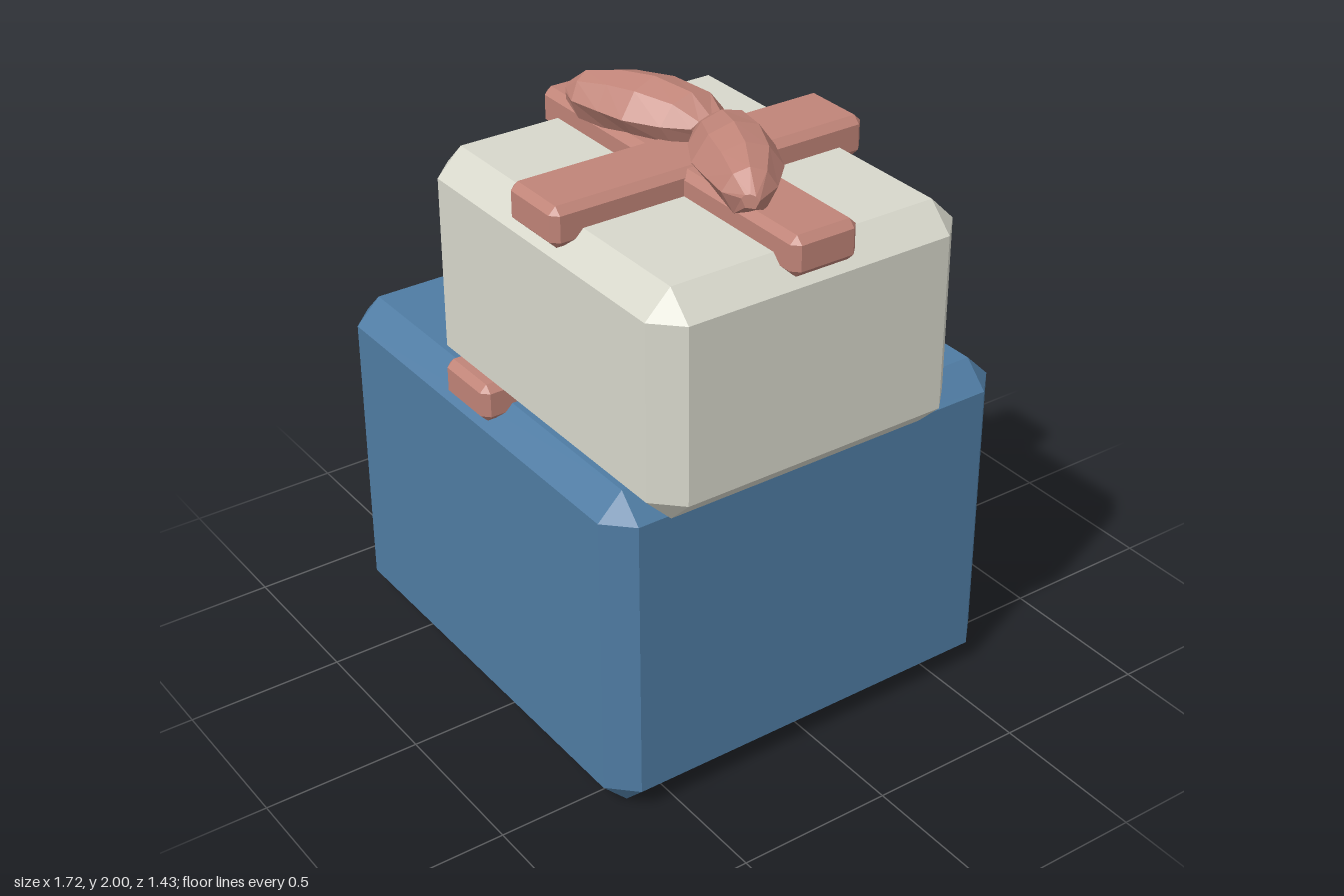
import * as THREE from 'three';
import { ConvexGeometry } from 'three/addons/geometries/ConvexGeometry.js';

const paint = (color) => new THREE.MeshStandardMaterial({ color, flatShading: true });

// Box with chamfered edges and corners, given by its min and max corners
function chamferBox(name, min, max, bevel, material) {
  const points = [];
  for (const sx of [0, 1]) for (const sy of [0, 1]) for (const sz of [0, 1]) {
    const s = [sx, sy, sz];
    for (let full = 0; full < 3; full++) {
      points.push(new THREE.Vector3(...s.map((v, k) => {
        const inset = k === full ? 0 : bevel;
        return v ? max[k] - inset : min[k] + inset;
      })));
    }
  }
  const mesh = new THREE.Mesh(new ConvexGeometry(points), material);
  mesh.name = name;
  return mesh;
}

// Bow loop sections: back x, back z, front x, front z, top y, bottom y
const sections = [
  [0.28, 0.04, 0.25, 0.16, 1.93, 1.88],
  [0.18, 0.0, 0.19, 0.22, 1.98, 1.83],
  [0.05, 0.03, 0.09, 0.28, 2.0, 1.83],
  [-0.07, 0.09, 0.0, 0.3, 1.99, 1.83],
  [-0.16, 0.18, -0.1, 0.32, 1.97, 1.84],
  [-0.2, 0.27, -0.16, 0.3, 1.92, 1.88],
];
const MID_Y = 1.905, BOW_X = 0.255;

// Faceted bow loop lofted through the sections; mirrored when side is -1
function bowLoop(name, side, material) {
  const rings = sections.map(([bx, bz, fx, fz, top, bottom]) => {
    const shoulder = MID_Y + (top - MID_Y) * 0.75;
    const profile = [[0, MID_Y], [0.2, shoulder], [0.5, top], [0.8, shoulder], [1, MID_Y], [0.78, bottom], [0.22, bottom]];
    return profile.map(([t, y]) => [
      BOW_X + side * (bx + (fx - bx) * t - BOW_X), y, bz + (fz - bz) * t,
    ]);
  });
  const n = rings[0].length, index = [];
  const tri = (a, b, c) => (side > 0 ? index.push(a, b, c) : index.push(a, c, b));
  for (let i = 0; i < rings.length - 1; i++) {
    for (let j = 0; j < n; j++) {
      const a = i * n + j, b = i * n + (j + 1) % n;
      tri(a, a + n, b);
      tri(b, a + n, b + n);
    }
  }
  const last = (rings.length - 1) * n;
  for (let j = 1; j < n - 1; j++) {
    tri(0, j, j + 1);
    tri(last, last + j + 1, last + j);
  }
  const geometry = new THREE.BufferGeometry();
  geometry.setAttribute('position', new THREE.Float32BufferAttribute(rings.flat(2), 3));
  geometry.setIndex(index);
  geometry.computeVertexNormals();
  const mesh = new THREE.Mesh(geometry, material);
  mesh.name = name;
  return mesh;
}

export function createModel() {
  const blue = paint(0x4f7ca3), cream = paint(0xd8d8cc), pink = paint(0xc08478);
  const model = new THREE.Group();
  model.name = 'giftBoxes';

  // Large box with crossed ribbons on its lid
  const large = new THREE.Group();
  large.name = 'largeGift';
  large.add(
    chamferBox('largeBox', [-0.85, 0, -0.7], [0.655, 1.08, 0.7], 0.08, blue),
    chamferBox('largeRibbonAcross', [-0.86, 1.035, -0.105], [0.665, 1.15, 0.105], 0.022, pink),
    chamferBox('largeRibbonAlong', [-0.21, 1.035, -0.713], [0.015, 1.155, 0.713], 0.022, pink),
  );

  // Small box on top, with crossed ribbons and a bow
  const small = new THREE.Group();
  small.name = 'smallGift';
  small.add(
    chamferBox('smallBox', [-0.34, 1.08, -0.35], [0.845, 1.78, 0.67], 0.08, cream),
    chamferBox('smallRibbonAcross', [-0.35, 1.73, 0.05], [0.855, 1.85, 0.265], 0.022, pink),
    chamferBox('smallRibbonAlong', [0.138, 1.733, -0.36], [0.367, 1.855, 0.683], 0.022, pink),
    bowLoop('bowLoopRight', 1, pink),
    bowLoop('bowLoopLeft', -1, pink),
  );

  model.add(large, small);
  return model;
}
